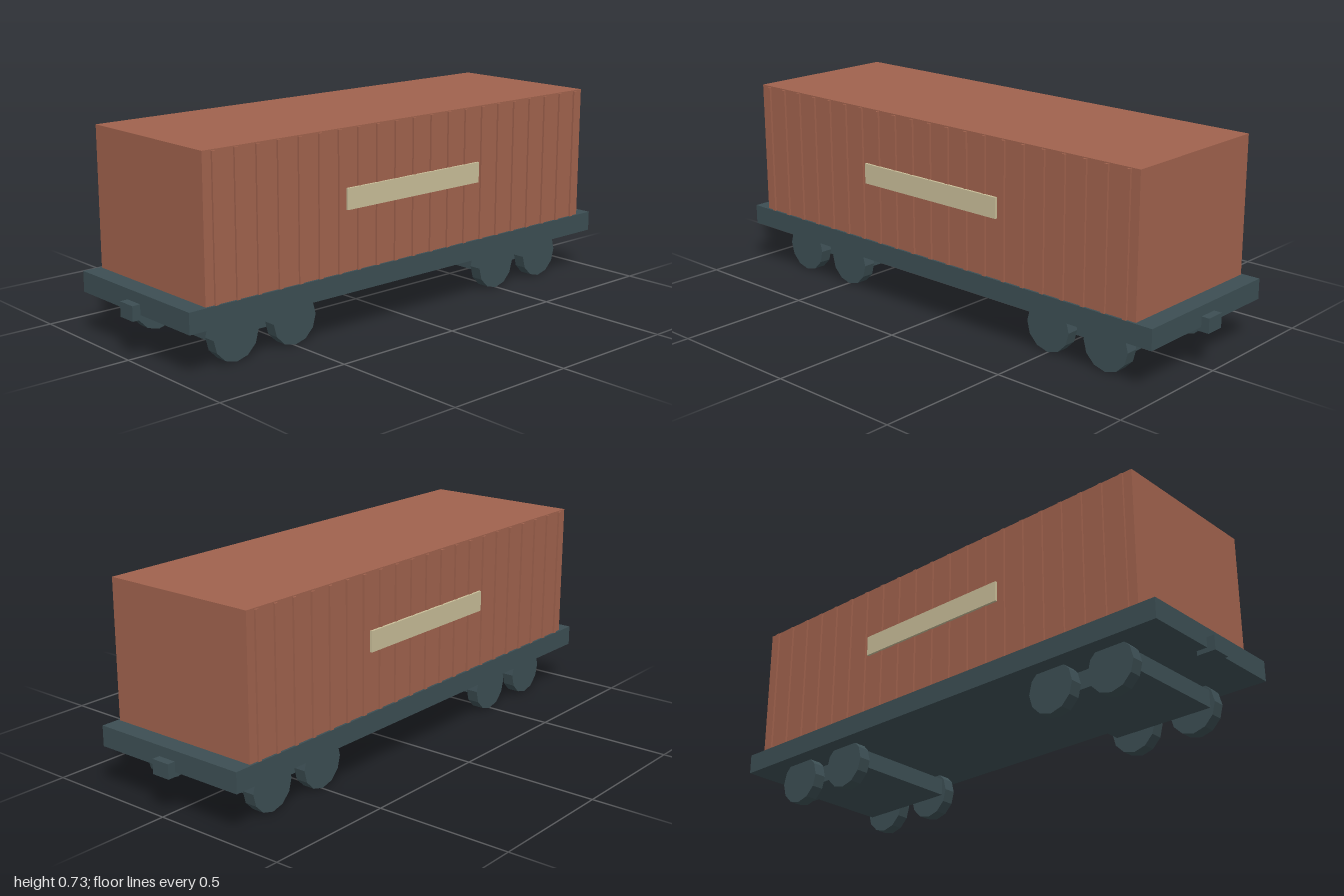
import * as THREE from 'three';

function material(name, color) {
  const m = new THREE.MeshStandardMaterial({ color });
  m.name = name;
  return m;
}

export function createModel() {
  const rust = material('rust red', 0xa0624d);
  const slate = material('dark slate', 0x3c4e53);
  const cream = material('cream', 0xc8bd98);
  const model = new THREE.Group();
  model.name = 'freightWagon';

  const add = (name, geometry, mat, x, y, z, parent = model) => {
    const mesh = new THREE.Mesh(geometry, mat);
    mesh.name = name;
    mesh.position.set(x, y, z);
    parent.add(mesh);
    return mesh;
  };
  const box = (w, h, d) => new THREE.BoxGeometry(w, h, d);

  // Deck and container
  add('deck', box(1.94, 0.074, 0.618), slate, 0, 0.194, 0);
  add('container', box(1.802, 0.5, 0.602), rust, 0, 0.48, 0);

  // Vertical ribs and sign plate on both long sides
  const ribGeometry = box(0.014, 0.496, 0.016);
  for (const side of [1, -1]) {
    const ribs = new THREE.Group();
    ribs.name = side > 0 ? 'frontRibs' : 'backRibs';
    model.add(ribs);
    for (let i = -10; i <= 10; i++) {
      add('rib', ribGeometry, rust, i * 0.086, 0.478, side * 0.3005, ribs);
    }
    add('signPlate', box(0.636, 0.075, 0.009), cream, 0, 0.488, side * 0.3105);
  }

  // Bogies with four wheels each, and a coupler at each end
  const wheelGeometry = new THREE.CylinderGeometry(0.091, 0.091, 0.046, 12).toNonIndexed();
  wheelGeometry.rotateX(Math.PI / 2);
  wheelGeometry.computeVertexNormals();
  for (const end of [1, -1]) {
    const bogie = new THREE.Group();
    bogie.name = end > 0 ? 'leftBogie' : 'rightBogie';
    bogie.position.x = end * 0.62;
    model.add(bogie);
    add('bogieFrame', box(0.39, 0.064, 0.402), slate, 0, 0.104, 0, bogie);
    for (const x of [-0.123, 0.123]) {
      for (const z of [-0.224, 0.224]) {
        add('wheel', wheelGeometry, slate, x, 0.091, z, bogie);
      }
    }
    add('coupler', box(0.07, 0.053, 0.072), slate, end * 0.965, 0.167, 0);
  }
  return model;
}
